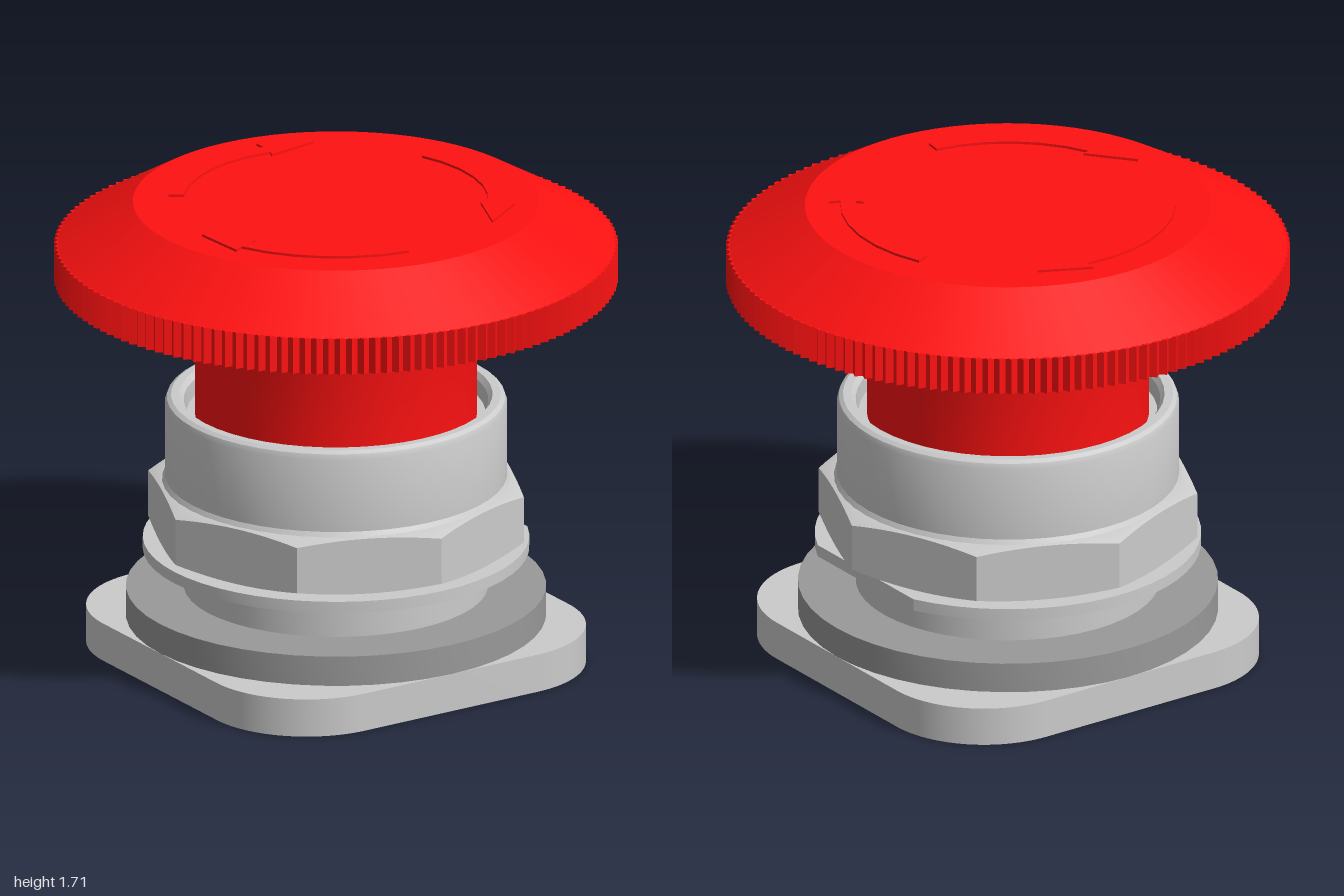
import * as THREE from 'three';
import { toCreasedNormals } from 'three/addons/utils/BufferGeometryUtils.js';

const BORE = 0.46;

export function createModel() {
  const model = new THREE.Group();
  model.name = 'mushroomPushButton';
  const grey = new THREE.MeshStandardMaterial({ color: 0xcccccc });
  const darkGrey = new THREE.MeshStandardMaterial({ color: 0x999999 });
  const red = new THREE.MeshStandardMaterial({ color: 0xff1111 });

  function add(name, geometry, material, parent = model) {
    const mesh = new THREE.Mesh(toCreasedNormals(geometry, 0.45), material);
    mesh.name = name;
    parent.add(mesh);
    return mesh;
  }
  const lathe = (points, segments = 48) =>
    new THREE.LatheGeometry(points.map(([r, y]) => new THREE.Vector2(r, y)), segments);

  // Flat outline lying in the ground plane, raised from y0 to y1
  function slab(shape, y0, y1) {
    const g = new THREE.ExtrudeGeometry(shape, { depth: y1 - y0, bevelEnabled: false, curveSegments: 24 });
    return g.rotateX(-Math.PI / 2).translate(0, y0, 0);
  }
  function punch(shape, radius) {
    shape.holes.push(new THREE.Path().absarc(0, 0, radius, 0, Math.PI * 2, true));
    return shape;
  }

  // Base plate: square with large round corners and a central bore
  const half = 0.745, corner = 0.38, c = half - corner;
  const plate = new THREE.Shape();
  [[c, c], [-c, c], [-c, -c], [c, -c]].forEach(([x, y], i) =>
    plate.absarc(x, y, corner, i * Math.PI / 2, (i + 1) * Math.PI / 2, false));
  add('basePlate', slab(punch(plate, BORE), 0, 0.14), grey);

  // Gasket ring on the plate
  add('gasket', lathe([[0.5, 0.14], [0.745, 0.14], [0.745, 0.25], [0.5, 0.25]]), darkGrey);

  // Barrel with its through bore
  add('barrel', lathe([[BORE, 0.14], [0.54, 0.14], [0.54, 0.5], [0.53, 0.9], [BORE, 0.9], [BORE, 0.14]]), grey);

  // Lock washer with one flat on the +x side
  const washer = new THREE.Shape();
  const flat = Math.acos(0.62 / 0.685);
  washer.absarc(0, 0, 0.685, flat, Math.PI * 2 - flat, false);
  washer.closePath();
  add('washer', slab(punch(washer, 0.5), 0.392, 0.435), grey);

  // Octagonal nut: a lathe whose outer rings follow the flats and the chamfer
  const nut = lathe([[0.5, 0.436], [0.612, 0.436], [0.68, 0.45], [0.68, 0.64], [0.612, 0.655], [0.5, 0.655]], 96);
  const pos = nut.attributes.position;
  const sector = Math.PI / 4;
  for (let i = 0; i < pos.count; i++) {
    const x = pos.getX(i), y = pos.getY(i), z = pos.getZ(i);
    if (Math.hypot(x, z) < 0.65) continue;
    const angle = Math.atan2(x, z);
    const offset = angle - (Math.floor(angle / sector + 1e-6) + 0.5) * sector;
    const r = 0.68 * Math.cos(sector / 2) / Math.cos(offset);
    const drop = (r - 0.612) * 0.36;
    pos.setXYZ(i, r * Math.sin(angle), y < 0.5 ? 0.436 + drop : 0.655 - drop, r * Math.cos(angle));
  }
  add('lockNut', nut, grey);

  // Collar around the stem, rounded on top
  add('collar', lathe([
    [0.5, 0.64], [0.625, 0.64], [0.607, 0.67], [0.607, 0.94], [0.6, 0.96], [0.585, 0.97],
    [0.555, 0.97], [0.54, 0.95], [0.54, 0.86], [0.48, 0.86],
  ]), grey);

  // Red head: stem, dished underside, knurled rim and sloping top
  const head = new THREE.Group();
  head.name = 'buttonHead';
  model.add(head);
  add('stemAndUnderside', lathe([
    [0, 0.86], [0.5, 0.86], [0.5, 1.5], [0.52, 1.55], [0.57, 1.58], [0.68, 1.585],
    [0.78, 1.54], [0.86, 1.47], [0.89, 1.405],
  ], 64), red, head);

  const teeth = 150;
  const rim = new THREE.Shape();
  for (let i = 0; i < teeth * 2; i++) {
    const a = i * Math.PI / teeth, r = i % 2 ? 0.98 : 1;
    if (i) rim.lineTo(r * Math.cos(a), r * Math.sin(a));
    else rim.moveTo(r, 0);
  }
  rim.closePath();
  add('knurledRim', slab(punch(rim, 0.89), 1.405, 1.54), red, head);
  add('headTop', lathe([[0.99, 1.538], [0.72, 1.697], [0, 1.697]], 72), red, head);

  // Three raised turn arrows
  const arrow = new THREE.Shape();
  const rad = Math.PI / 180;
  const at = (r, deg) => new THREE.Vector2(r * Math.sin(deg * rad), r * Math.cos(deg * rad));
  const outline = [];
  for (let d = -52.5; d <= 7.5; d += 10) outline.push(at(0.595, d));
  outline.push(at(0.635, 7), at(0.6, 25.7), at(0.513, 7));
  for (let d = 7.5; d >= -52.5; d -= 10) outline.push(at(0.54, d));
  arrow.setFromPoints(outline);
  for (let i = 0; i < 3; i++) {
    add('turnArrow' + (i + 1), slab(arrow, 1.69, 1.706), red, head).rotation.y = -i * Math.PI * 2 / 3;
  }
  return model;
}
